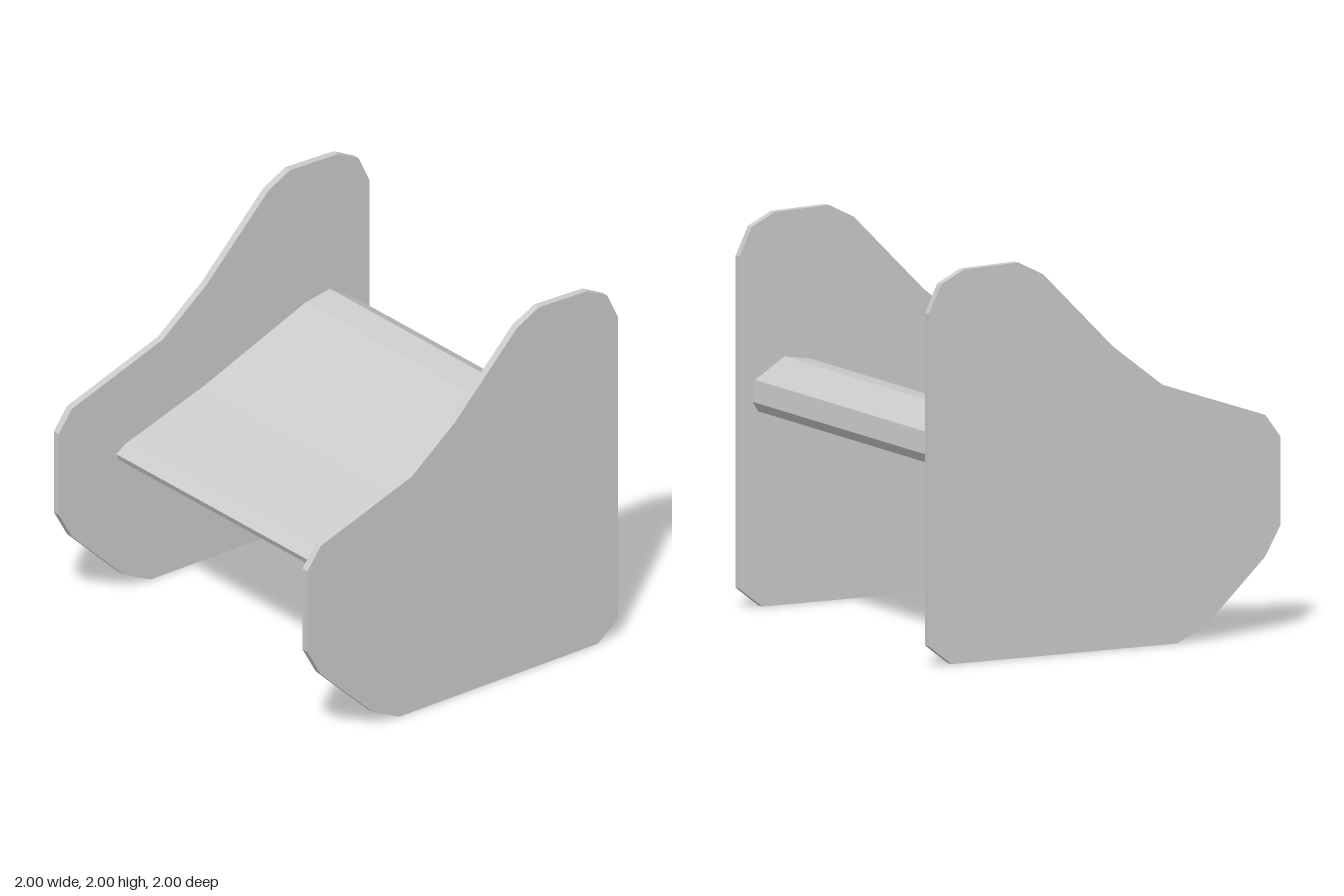
import * as THREE from 'three';

const material = new THREE.MeshStandardMaterial({ color: 0xcccccc, flatShading: true });

// Extrudes a side profile of [z, y] points across the model, from x0 to x0 + width
function slab(name, profile, x0, width) {
  const shape = new THREE.Shape(profile.map(([z, y]) => new THREE.Vector2(-z, y)));
  const geometry = new THREE.ExtrudeGeometry(shape, { depth: width, bevelEnabled: false });
  geometry.rotateY(Math.PI / 2); // shape x becomes -z, depth becomes +x
  geometry.translate(x0, 0, 0);
  const mesh = new THREE.Mesh(geometry, material);
  mesh.name = name;
  return mesh;
}

// Outline of the side panels: low rounded front, tall rounded back
const panelProfile = [
  [0.41, 0], [0.58, 0.08], [0.915, 0.4], [1, 0.55], [1, 1], [0.915, 1.115],
  [0.33, 1.315], [0.05, 1.53], [-0.35, 1.93], [-0.49, 2], [-0.8, 1.99],
  [-0.93, 1.925], [-1, 1.78], [-1, 0.1], [-0.87, 0],
];

// Cross-section of the sloping board between the panels
const boardProfile = [
  [0.615, 0.735], [0.63, 0.77], [0.57, 0.81], [0.07, 0.97], [-0.59, 1.23],
  [-0.745, 1.255], [-0.91, 1.15], [-0.925, 1.04], [-0.895, 0.99],
];

export function createModel() {
  const group = new THREE.Group();
  group.name = 'slopedRest';
  const thickness = 0.04;
  group.add(slab('leftPanel', panelProfile, 1 - thickness, thickness));
  group.add(slab('rightPanel', panelProfile, -1, thickness));
  group.add(slab('slopedBoard', boardProfile, -1 + thickness, 2 - 2 * thickness));
  return group;
}
